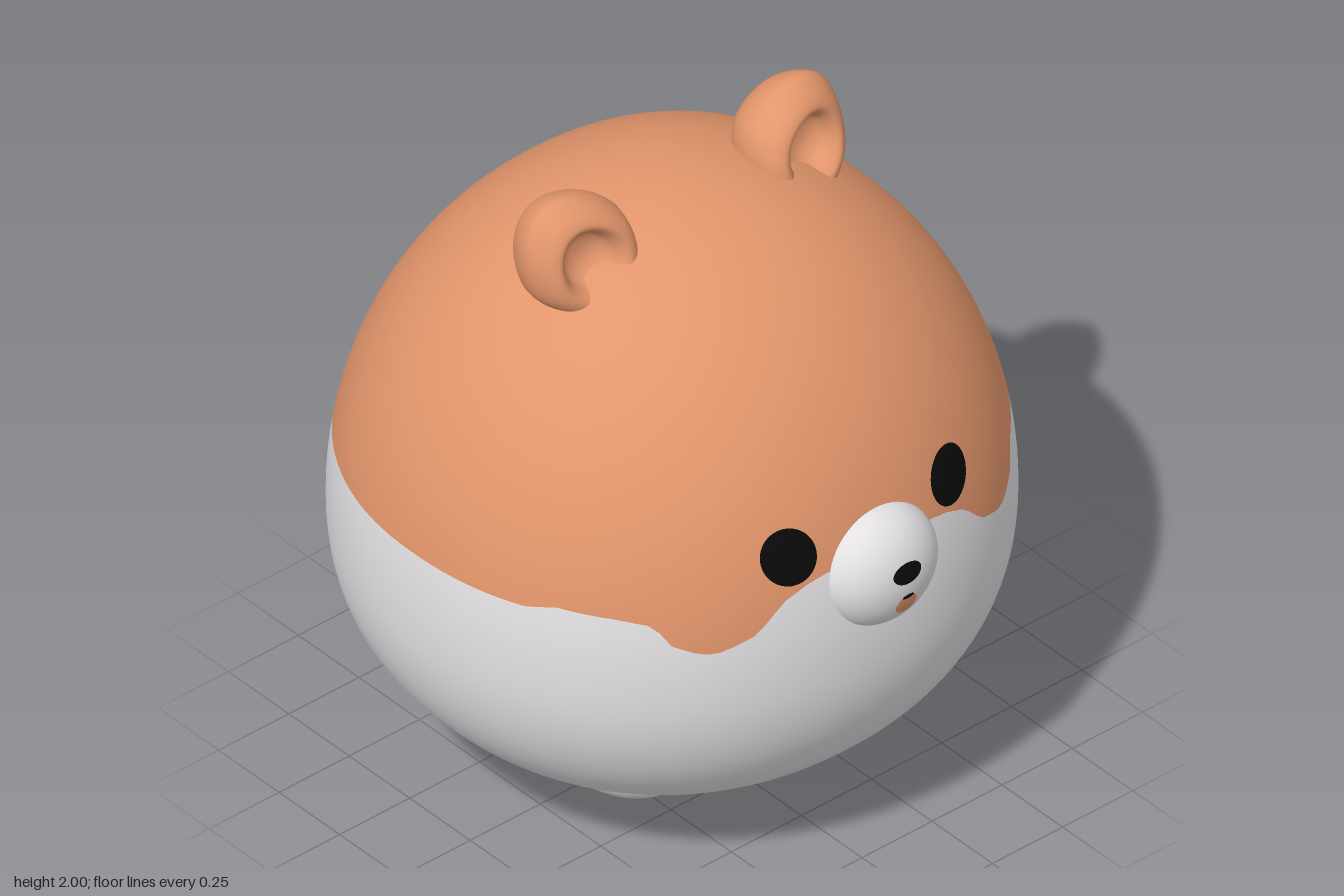
import * as THREE from 'three';

const orange = new THREE.MeshStandardMaterial({ color: 0xe2956b, name: 'orange fur' });
const white = new THREE.MeshStandardMaterial({ color: 0xe2e0e3, name: 'white fur' });
const black = new THREE.MeshStandardMaterial({ color: 0x0a0a0a, name: 'black' });

// Body: elliptical dome above the waist, slightly boxier bowl below
const BODY = { z: -0.035, waist: 0.82, up: 1.05, down: 0.72, rx: 0.932, rz: 0.905, n: 2.1 };

// Width factor and height at an elevation angle from -90 to 90 degrees
function bodyProfile(phi) {
  const e = phi < 0 ? 2 / 2.3 : 1;
  const h = Math.abs(Math.sin(phi)) ** e;
  return {
    r: Math.max(0, Math.cos(phi)) ** e,
    y: BODY.waist + (phi < 0 ? -BODY.down * h : BODY.up * h),
  };
}

// Elevation angle of a height above the waist
const elevation = (y) => Math.asin((y - BODY.waist) / BODY.up);

function bodyFront(x, y) {
  const { r } = bodyProfile(elevation(y));
  return BODY.z + BODY.rz * r * (1 - Math.abs(x / (BODY.rx * r)) ** BODY.n) ** (1 / BODY.n);
}

// Height of the colour edge by angle from the front (degrees), same on both sides
const EDGE = [
  [0, 1.1], [12, 1.1], [16, 1.085], [21, 1.05], [23, 1.01], [26, 0.97], [30, 0.945],
  [33, 0.93], [36, 0.94], [40, 0.965], [43, 1.025], [49, 1.04], [60, 1.05], [66, 1.03],
  [90, 1.03], [130, 1.02], [150, 1.0], [180, 0.97],
];

function edgeHeight(angle) {
  const d = Math.abs(THREE.MathUtils.radToDeg(angle));
  const i = Math.max(1, EDGE.findIndex((e) => e[0] >= d - 1e-6));
  const [a, b] = [EDGE[i - 1], EDGE[i]];
  return THREE.MathUtils.mapLinear(d, a[0], b[0], a[1], b[1]);
}

// One smooth skin whose middle row follows the colour edge
function bodyGeometry() {
  const seg = 180, lower = 36, upper = 30, rows = lower + upper;
  const pos = [], idx = [];
  for (let s = 0; s < seg; s++) {
    const a = (s / seg) * Math.PI * 2 - Math.PI;
    const sin = Math.sin(a), cos = Math.cos(a);
    const round = (Math.abs(sin) ** BODY.n + Math.abs(cos) ** BODY.n) ** (-1 / BODY.n);
    const edge = elevation(edgeHeight(a));
    for (let i = 0; i <= rows; i++) {
      const phi = i <= lower
        ? THREE.MathUtils.lerp(-Math.PI / 2, edge, i / lower)
        : THREE.MathUtils.lerp(edge, Math.PI / 2, (i - lower) / upper);
      const { r, y } = bodyProfile(phi);
      pos.push(BODY.rx * r * round * sin, y, BODY.z + BODY.rz * r * round * cos);
    }
  }
  const at = (s, r) => (s % seg) * (rows + 1) + r;
  for (let r = 0; r < rows; r++) {
    for (let s = 0; s < seg; s++) {
      const a = at(s, r), b = at(s + 1, r), c = at(s + 1, r + 1), d = at(s, r + 1);
      idx.push(a, b, c, a, c, d);
    }
  }
  const g = new THREE.BufferGeometry();
  g.setAttribute('position', new THREE.Float32BufferAttribute(pos, 3));
  g.setIndex(idx);
  g.addGroup(0, lower * seg * 6, 0);
  g.addGroup(lower * seg * 6, upper * seg * 6, 1);
  g.computeVertexNormals();
  return g;
}

// Thin oval draped on a surface z = depth(x, y), slightly domed
function drapedOval(cx, cy, rx, ry, depth, dome) {
  const g = new THREE.RingGeometry(0, 1, 40, 6);
  const p = g.attributes.position;
  for (let i = 0; i < p.count; i++) {
    const u = p.getX(i), v = p.getY(i);
    const x = cx + u * rx, y = cy + v * ry;
    p.setXYZ(i, x, y, depth(x, y) + 0.003 + dome * (1 - u * u - v * v));
  }
  g.computeVertexNormals();
  return g;
}

// Cup-shaped ear: narrower at the tip, its open side leaning back at the top
function earGeometry() {
  const outline = new THREE.SplineCurve([
    [0, -0.145], [0.06, -0.137], [0.115, -0.107], [0.153, -0.057], [0.168, 0], [0.16, 0.05],
    [0.138, 0.09], [0.108, 0.106], [0.084, 0.085], [0.066, 0.05], [0.035, 0.03], [0, 0.025],
  ].map((p) => new THREE.Vector2(...p)));
  const pts = outline.getPoints(44);
  pts[0].x = pts[44].x = 0;
  const g = new THREE.LatheGeometry(pts, 48);
  g.rotateX(Math.PI / 2);
  const p = g.attributes.position;
  for (let i = 0; i < p.count; i++) {
    const x = p.getX(i), y = p.getY(i), z = p.getZ(i);
    const lean = 0.32 * y * THREE.MathUtils.smoothstep(z, -0.06, 0.1);
    p.setXYZ(i, x * (1 - 0.9 * Math.max(0, y)), y * (y > 0 ? 1.1 : 1), z - lean);
  }
  g.computeVertexNormals();
  return g;
}

export function createModel() {
  const model = new THREE.Group();
  model.name = 'roundAnimal';
  const add = (name, geometry, material) => {
    const mesh = new THREE.Mesh(geometry, material);
    mesh.name = name;
    model.add(mesh);
    return mesh;
  };

  add('body', bodyGeometry(), [white, orange]);

  // Snout with nose and mouth
  const snout = { y: 1.036, z: 0.8, rx: 0.192, ry: 0.181, rz: 0.143 };
  const muzzle = add('snout', new THREE.SphereGeometry(1, 48, 32), white);
  muzzle.position.set(0, snout.y, snout.z);
  muzzle.scale.set(snout.rx, snout.ry, snout.rz);
  const snoutFront = (x, y) => snout.z
    + snout.rz * Math.sqrt(Math.max(0, 1 - (x / snout.rx) ** 2 - ((y - snout.y) / snout.ry) ** 2));
  add('nose', drapedOval(0, 1.075, 0.049, 0.031, snoutFront, 0.002), black);
  add('mouth', drapedOval(0, 0.97, 0.036, 0.034, snoutFront, 0), orange);
  add('mouthLine', drapedOval(0, 0.999, 0.02, 0.007, snoutFront, 0.003), black);

  // Paired parts
  for (const side of [1, -1]) {
    const label = side > 0 ? 'left' : 'right';
    add(label + 'Eye', drapedOval(side * 0.285, 1.175, 0.079, 0.08, bodyFront, 0.006), black);

    const ear = add(label + 'Ear', earGeometry(), orange);
    ear.position.set(side * 0.39, 1.83, 0);
    ear.rotation.z = -side * 0.55;

    const foot = add(label + 'Foot', new THREE.SphereGeometry(1, 40, 28), white);
    foot.position.set(side * 0.252, 0.137, 0.025);
    foot.rotation.set(0, side * 0.22, side * 0.16, 'ZYX');
    foot.scale.set(0.202, 0.13, 0.27);
  }
  return model;
}
